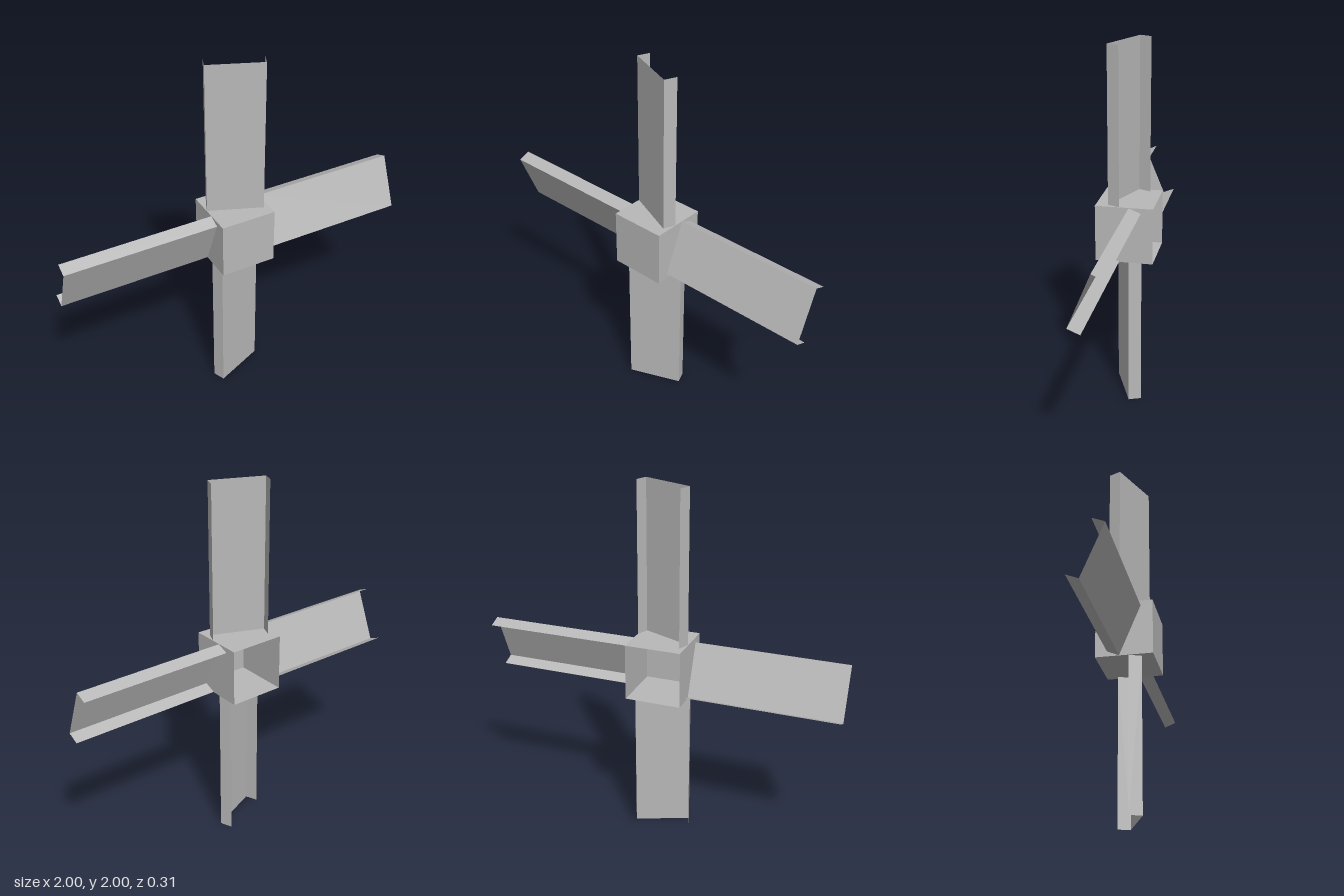
import * as THREE from 'three';

const HUB = 0.31;        // hub edge length
const REACH = 1.0;       // blade tip distance from the hub centre
const PITCH = Math.PI / 8;
const WEB = 0.303, LIP = 0.07; // channel section: wide web, two rear lips

// Open channel section (x, z), pitched and centred on the blade axis
function channelProfile() {
  const points = [[-WEB / 2, -LIP / 2], [-WEB / 2, LIP / 2], [WEB / 2, LIP / 2], [WEB / 2, -LIP / 2]];
  const c = Math.cos(PITCH), s = Math.sin(PITCH);
  return points.map(([x, z]) => [x * c - z * s, x * s + z * c]);
}

// Sheet of flat strips running up from y0 to y1
function channelGeometry(y0, y1) {
  const profile = channelProfile();
  const positions = [];
  for (let i = 0; i < profile.length - 1; i++) {
    const [ax, az] = profile[i], [bx, bz] = profile[i + 1];
    positions.push(ax, y0, az, bx, y0, bz, bx, y1, bz);
    positions.push(ax, y0, az, bx, y1, bz, ax, y1, az);
  }
  const geometry = new THREE.BufferGeometry();
  geometry.setAttribute('position', new THREE.Float32BufferAttribute(positions, 3));
  geometry.computeVertexNormals();
  return geometry;
}

export function createModel() {
  const model = new THREE.Group();
  model.name = 'fourBladeRotor';
  const grey = new THREE.MeshStandardMaterial({ color: 0xb8b8b8, side: THREE.DoubleSide });
  grey.name = 'plain grey';

  // Hub: hollow cube, its back face left out
  const hubGeometry = new THREE.BoxGeometry(HUB, HUB, HUB);
  hubGeometry.setIndex(Array.from(hubGeometry.index.array).slice(0, 30));
  hubGeometry.clearGroups();
  const hub = new THREE.Mesh(hubGeometry, grey);
  hub.name = 'hub';
  hub.position.y = REACH;
  model.add(hub);

  // Four pitched blades around the hub
  const bladeGeometry = channelGeometry(HUB / 2, REACH);
  ['topBlade', 'rightwardBlade', 'bottomBlade', 'leftwardBlade'].forEach((name, i) => {
    const blade = new THREE.Mesh(bladeGeometry, grey);
    blade.name = name;
    blade.position.y = REACH;
    blade.rotation.z = -i * Math.PI / 2;
    model.add(blade);
  });

  return model;
}
